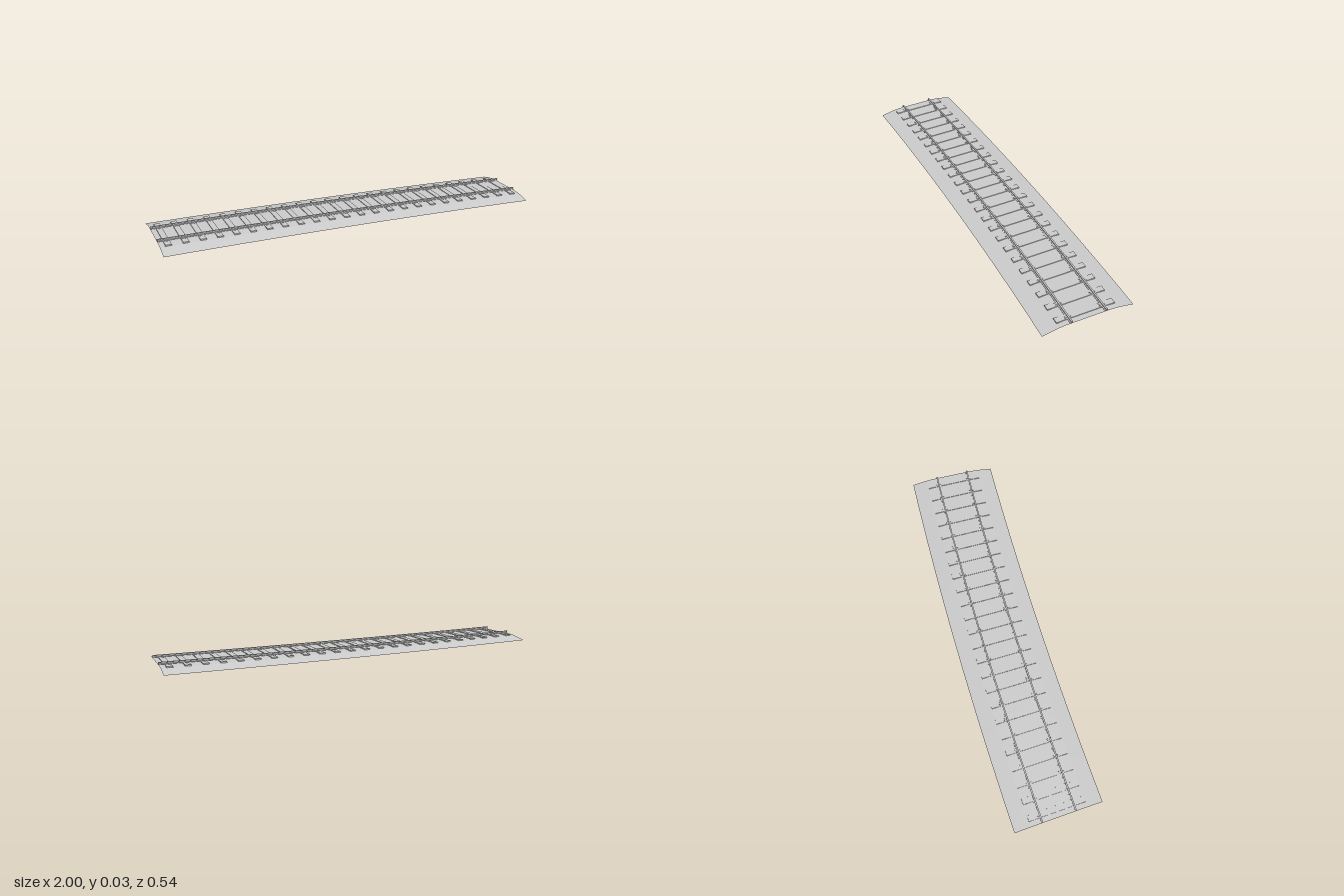
import * as THREE from 'three';

const R = 22.7;                          // radius of the track's centre line
const SWEEP = THREE.MathUtils.degToRad(5);
const START_Z = -0.045;
const SLEEPERS = 24;
const GAUGE = 0.086;                     // centre line to rail

const grey = new THREE.MeshStandardMaterial({ color: 0xcccccc, flatShading: true });
const greyOpen = new THREE.MeshStandardMaterial({ color: 0xcccccc, flatShading: true, side: THREE.DoubleSide });

// Point on the curve: t = angle along the track, o = offset towards +z
function trackPoint(t, o, y) {
  return [-1 + (R - o) * Math.sin(t), y, START_Z + R - (R - o) * Math.cos(t)];
}

// Sweep a section of [offset, height] points along the track.
// Closed sections are mirror symmetric, so caps join point j to n-1-j.
function sweep(section, segments, closed) {
  const pos = [];
  const n = section.length;
  const p = (i, j) => trackPoint((SWEEP * i) / segments, ...section[j % n]);
  const quad = (a, b, c, d) => pos.push(...a, ...b, ...c, ...a, ...c, ...d);
  for (let i = 0; i < segments; i++) {
    for (let j = 0; j < (closed ? n : n - 1); j++) {
      quad(p(i, j), p(i, j + 1), p(i + 1, j + 1), p(i + 1, j));
    }
  }
  if (closed) {
    for (let j = 0; j < n / 2 - 1; j++) {
      quad(p(0, j), p(0, n - 1 - j), p(0, n - 2 - j), p(0, j + 1));
      quad(p(segments, j), p(segments, j + 1), p(segments, n - 2 - j), p(segments, n - 1 - j));
    }
  }
  const g = new THREE.BufferGeometry();
  g.setAttribute('position', new THREE.Float32BufferAttribute(pos, 3));
  g.computeVertexNormals();
  return g;
}

function addBox(parent, name, size, position) {
  const m = new THREE.Mesh(new THREE.BoxGeometry(...size), grey);
  m.name = name;
  m.position.set(...position);
  parent.add(m);
}

// Sleeper with slightly tapered sides
function sleeperGeometry() {
  const g = new THREE.BoxGeometry(0.034, 0.022, 0.29);
  const a = g.attributes.position;
  for (let i = 0; i < a.count; i++) {
    if (a.getY(i) > 0) a.setX(i, a.getX(i) * 0.85);
  }
  g.translate(0, 0.011, 0);
  g.computeVertexNormals();
  return g;
}

export function createModel() {
  const model = new THREE.Group();
  model.name = 'curvedTrack';

  // Ballast bed: an open shell with sloping shoulders
  const bed = [[-0.227, 0], [-0.15, 0.0155], [-0.11, 0.019], [0.11, 0.019], [0.15, 0.0155], [0.227, 0]];
  const ballast = new THREE.Mesh(sweep(bed, 16, false), greyOpen);
  ballast.name = 'ballast';
  model.add(ballast);

  // Rails: foot, web and head
  const half = [[-0.0075, 0.0222], [-0.0075, 0.0238], [-0.002, 0.0252], [-0.002, 0.0295], [-0.004, 0.0305], [-0.004, 0.033]];
  const profile = [...half, ...half.map(([o, y]) => [-o, y]).reverse()];
  for (const side of [-1, 1]) {
    const section = profile.map(([o, y]) => [o + side * GAUGE, y]);
    const rail = new THREE.Mesh(sweep(section, 16, true), grey);
    rail.name = side < 0 ? 'backRail' : 'frontRail';
    model.add(rail);
  }

  // Sleepers with base plates and rail clips
  const sleeperGeo = sleeperGeometry();
  for (let i = 0; i < SLEEPERS; i++) {
    const t = (SWEEP * (i + 0.5)) / SLEEPERS;
    const unit = new THREE.Group();
    unit.name = 'sleeperUnit';
    unit.position.set(...trackPoint(t, 0, 0));
    unit.rotation.y = -t;
    const sleeper = new THREE.Mesh(sleeperGeo, grey);
    sleeper.name = 'sleeper';
    unit.add(sleeper);
    for (const side of [-1, 1]) {
      addBox(unit, 'basePlate', [0.02, 0.001, 0.032], [0, 0.0223, side * GAUGE]);
      for (const s of [-1, 1]) {
        addBox(unit, 'railClip', [0.011, 0.0025, 0.007], [0, 0.024, side * GAUGE + s * 0.0095]);
      }
    }
    model.add(unit);
  }
  return model;
}
